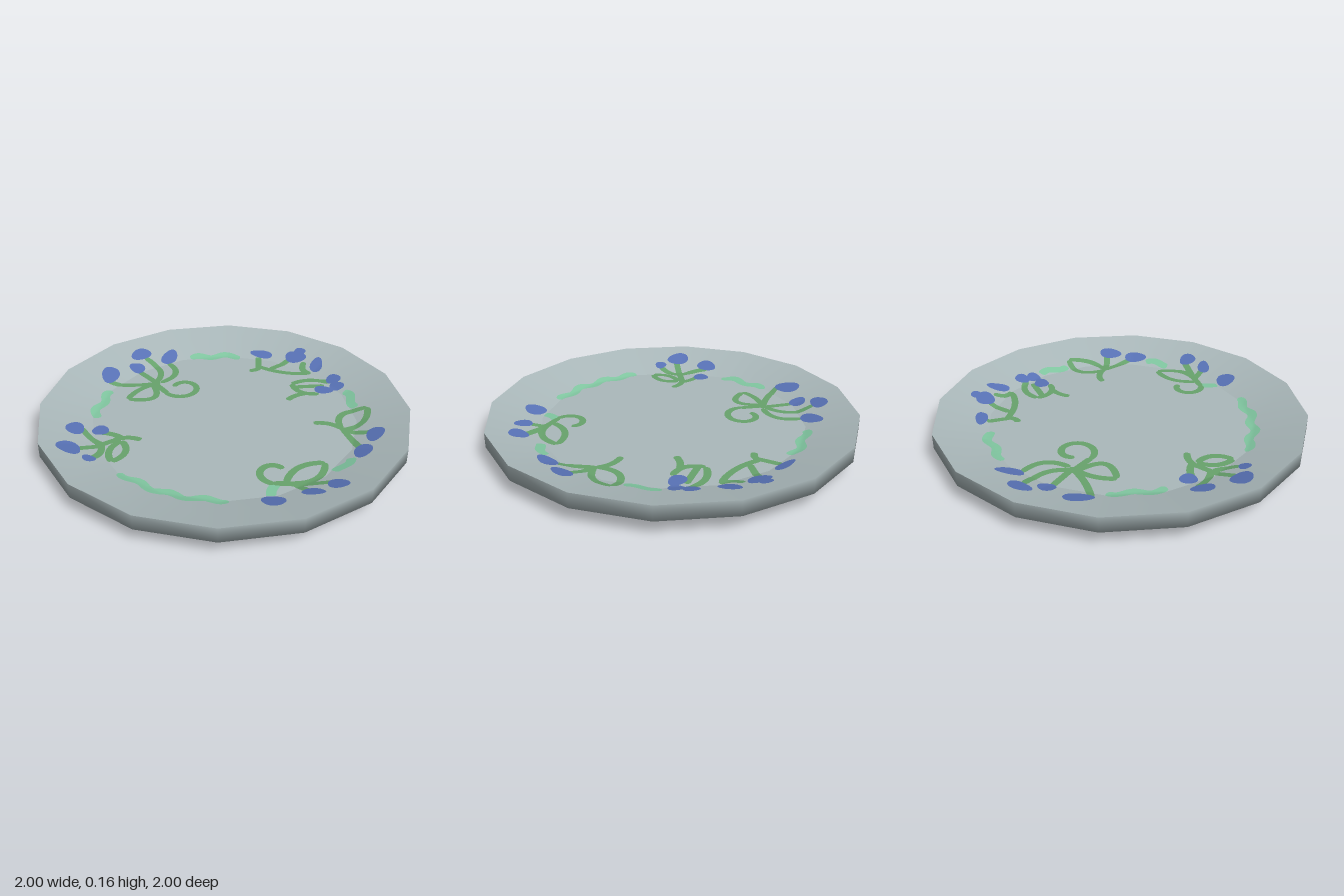
import * as THREE from 'three';

const SIDES = 16, FLOOR_R = 0.72, FLOOR_Y = 0.08, RIM_Y = 0.16;
const rad = THREE.MathUtils.degToRad;

const material = (name, color, side = THREE.FrontSide) => {
  const m = new THREE.MeshStandardMaterial({ color, side });
  m.name = name;
  return m;
};

// Height of the plate's upper face at a point
function plateHeight(x, z) {
  let d = 0;
  for (let i = 0; i < SIDES; i++) {
    const a = ((i + 0.5) / SIDES) * Math.PI * 2;
    d = Math.max(d, x * Math.cos(a) + z * Math.sin(a));
  }
  const r = d / Math.cos(Math.PI / SIDES);
  return FLOOR_Y + Math.max(0, (r - FLOOR_R) / (1 - FLOOR_R)) * (RIM_Y - FLOOR_Y);
}

// Thin patch draped on the plate: at(u, v) gives [x, z]
function drape(nu, nv, lift, at) {
  const pos = [], index = [];
  for (let i = 0; i <= nu; i++) {
    for (let j = 0; j <= nv; j++) {
      const [x, z] = at(i / nu, j / nv);
      pos.push(x, plateHeight(x, z) + lift, z);
      if (i < nu && j < nv) {
        const a = i * (nv + 1) + j, b = a + nv + 1;
        index.push(a, a + 1, b, b, a + 1, b + 1);
      }
    }
  }
  const g = new THREE.BufferGeometry();
  g.setAttribute('position', new THREE.Float32BufferAttribute(pos, 3));
  g.setIndex(index);
  g.computeVertexNormals();
  return g;
}

// Brush stroke with rounded ends along a flat curve
function stroke(curve, width, lift) {
  return drape(48, 4, lift, (u, v) => {
    const p = curve.getPoint(u), t = curve.getTangent(u);
    const w = (v - 0.5) * width * Math.sqrt(Math.max(0, 1 - Math.pow(2 * u - 1, 14)));
    return [p.x + t.y * w, p.y - t.x * w];
  });
}

// Bowed line between two points; bend is the sideways bow as a share of its length
function bow(x1, z1, x2, z2, bend) {
  const dx = x2 - x1, dz = z2 - z1;
  return new THREE.QuadraticBezierCurve(
    new THREE.Vector2(x1, z1),
    new THREE.Vector2((x1 + x2) / 2 - dz * bend * 2, (z1 + z2) / 2 + dx * bend * 2),
    new THREE.Vector2(x2, z2));
}

// Arc around a centre, with radius(t) and angles in degrees
function sweep(cx, cz, from, to, radius) {
  const points = Array.from({ length: 17 }, (_, i) => {
    const t = i / 16, a = rad(from + (to - from) * t), r = radius(t);
    return new THREE.Vector2(cx + r * Math.cos(a), cz + r * Math.sin(a));
  });
  return new THREE.SplineCurve(points);
}

export function createModel() {
  const plate = new THREE.Group();
  plate.name = 'plate';
  const ceramic = material('ceramic grey', 0xaab8ba);
  const green = material('leaf green', 0x67a36c, THREE.DoubleSide);
  const mint = material('mint green', 0x80c6a0, THREE.DoubleSide);
  const blue = material('petal blue', 0x5872b6, THREE.DoubleSide);

  let parent = plate;
  const add = (name, geometry, mat) => {
    const mesh = new THREE.Mesh(geometry, mat);
    mesh.name = name;
    parent.add(mesh);
  };
  const startSpray = (name) => {
    parent = new THREE.Group();
    parent.name = name;
    plate.add(parent);
  };

  // Painted parts, layered mint, green, blue
  const paintGarland = (curve) => add('garland', stroke(curve, 0.05, 0.002), mint);
  const paintGreen = (name, curve) => add(name, stroke(curve, 0.037, 0.0035), green);
  const stem = (x1, z1, x2, z2, bend = 0) => paintGreen('stem', bow(x1, z1, x2, z2, bend));
  const leaf = (x1, z1, x2, z2, ...bends) =>
    bends.forEach((bend) => paintGreen('leafOutline', bow(x1, z1, x2, z2, bend)));
  const tendril = (cx, cz, from, to, r1, r2) =>
    paintGreen('tendril', sweep(cx, cz, from, to, (t) => r1 + (r2 - r1) * t));
  const petal = (x, z, rx, rz, turn = 0) => add('petal', drape(24, 4, 0.005, (u, v) => {
    const a = -u * Math.PI * 2, k = v * (1 + 0.06 * Math.sin(3 * a + x * 20));
    const px = Math.cos(a) * rx * k, pz = Math.sin(a) * rz * k;
    return [x + px * Math.cos(turn) - pz * Math.sin(turn), z + px * Math.sin(turn) + pz * Math.cos(turn)];
  }), blue);

  // Plate body, split where the edges are sharp
  const body = {
    base: [[0, 0], [FLOOR_R, 0]],
    outerWall: [[FLOOR_R, 0], [1, FLOOR_Y], [1, RIM_Y]],
    innerSlope: [[1, RIM_Y], [FLOOR_R, FLOOR_Y]],
    floor: [[FLOOR_R, FLOOR_Y], [0, FLOOR_Y]],
  };
  for (const [name, profile] of Object.entries(body)) {
    add(name, new THREE.LatheGeometry(profile.map(([r, y]) => new THREE.Vector2(r, y)), SIDES), ceramic);
  }

  // Wavy garlands: start angle, end angle, radius
  for (const [from, to, r] of [[229, 254, 0.715], [-46, -32, 0.74], [180, 156, 0.705], [112, 64, 0.715], [7, 18, 0.745]]) {
    const waves = Math.abs(to - from) / 14;
    paintGarland(sweep(0, 0, from, to, (t) => r + 0.014 * Math.sin(t * waves * Math.PI * 2)));
  }
  paintGarland(bow(0.47, 0.43, 0.48, 0.53, 0.1));

  startSpray('backSpray');
  stem(-0.09, -0.72, -0.04, -0.6);
  stem(-0.04, -0.62, -0.08, -0.55, -0.2);
  stem(-0.05, -0.62, 0.26, -0.66, 0.1);
  stem(0.27, -0.66, 0.2, -0.75, -0.25);
  stem(0.1, -0.75, 0.03, -0.62);
  petal(-0.08, -0.75, 0.07, 0.032, -0.1);
  petal(0.13, -0.78, 0.065, 0.05);
  petal(0.14, -0.83, 0.035, 0.035);
  petal(0.28, -0.74, 0.037, 0.065, -0.2);

  startSpray('backRightSpray');
  stem(0.41, -0.6, 0.21, -0.5, 0.18);
  stem(0.21, -0.5, 0.39, -0.46, 0.25);
  stem(0.39, -0.56, 0.23, -0.47);
  stem(0.32, -0.43, 0.25, -0.32, 0.1);
  petal(0.42, -0.63, 0.042, 0.042);
  petal(0.46, -0.57, 0.042, 0.04);
  petal(0.4, -0.51, 0.055, 0.042, -0.3);

  startSpray('rightSpray');
  stem(0.46, -0.15, 0.62, -0.16, -0.15);
  stem(0.61, -0.16, 0.78, -0.16, 0.05);
  stem(0.62, -0.16, 0.76, -0.01);
  leaf(0.62, -0.15, 0.69, -0.39, -0.33, 0.2);
  petal(0.8, -0.14, 0.045, 0.067);
  petal(0.78, 0.02, 0.045, 0.067);

  startSpray('frontRightSpray');
  tendril(0.43, 0.35, -60, -290, 0.05, 0.09);
  stem(0.45, 0.435, 0.73, 0.33);
  stem(0.54, 0.39, 0.65, 0.45);
  leaf(0.51, 0.41, 0.63, 0.17, -0.2, 0.25);
  petal(0.75, 0.35, 0.053, 0.048);
  petal(0.66, 0.45, 0.057, 0.034, -0.15);
  petal(0.51, 0.58, 0.06, 0.052);

  startSpray('frontLeftSpray');
  stem(-0.31, 0.37, -0.44, 0.43, 0.15);
  stem(-0.43, 0.42, -0.56, 0.63);
  stem(-0.64, 0.42, -0.46, 0.49, 0.08);
  stem(-0.54, 0.4, -0.4, 0.4, -0.1);
  stem(-0.47, 0.5, -0.44, 0.63, -0.1);
  leaf(-0.4, 0.42, -0.35, 0.6, -0.25, 0.2);
  petal(-0.66, 0.45, 0.047, 0.06, -0.3);
  petal(-0.55, 0.38, 0.045, 0.045);
  petal(-0.58, 0.63, 0.068, 0.055, 0.3);
  petal(-0.45, 0.65, 0.035, 0.032);

  startSpray('leftSpray');
  stem(-0.71, -0.39, -0.53, -0.14, -0.25);
  stem(-0.57, -0.43, -0.5, -0.2, -0.28);
  stem(-0.67, -0.26, -0.5, -0.18);
  stem(-0.77, -0.06, -0.5, -0.2, 0.07);
  stem(-0.53, -0.18, -0.41, -0.11);
  leaf(-0.53, -0.16, -0.58, 0.04, 0.1, -0.5);
  tendril(-0.355, -0.2, 130, -190, 0.11, 0.05);
  petal(-0.585, -0.48, 0.042, 0.072);
  petal(-0.74, -0.4, 0.045, 0.065, 0.5);
  petal(-0.7, -0.28, 0.047, 0.045);
  petal(-0.79, -0.12, 0.05, 0.075, -0.3);

  return plate;
}
